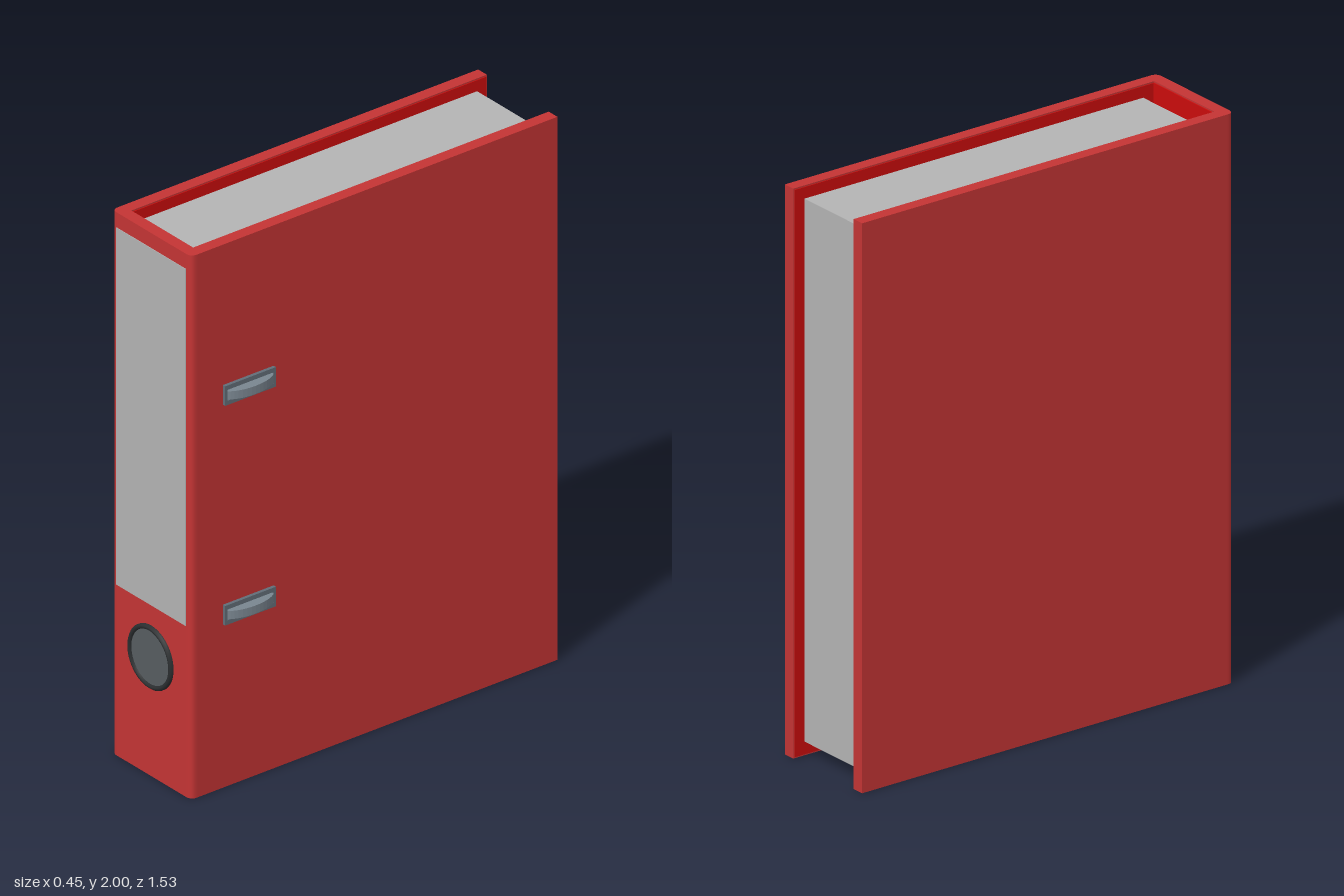
import * as THREE from 'three';

const mat = (name, color) => {
  const m = new THREE.MeshStandardMaterial({ color });
  m.name = name;
  return m;
};

export function createModel() {
  const model = new THREE.Group();
  model.name = 'leverArchFile';
  const red = mat('coverRed', 0xc43434);
  const lining = mat('liningRed', 0xcc0c0c);
  const grey = mat('paperGrey', 0xb4b4b4);
  const dark = mat('rimDark', 0x2b2e30);
  const slate = mat('discSlate', 0x575d61);
  const frameSteel = mat('frameSteel', 0x626e78);
  const steel = mat('lugSteel', 0x7a8690);

  const add = (name, geometry, material, parent = model) => {
    const mesh = new THREE.Mesh(geometry, material);
    mesh.name = name;
    parent.add(mesh);
    return mesh;
  };
  // Box given by its limits on each axis
  const box = (name, [x0, x1], [y0, y1], [z0, z1], material, parent) => {
    const mesh = add(name, new THREE.BoxGeometry(x1 - x0, y1 - y0, z1 - z0), material, parent);
    mesh.position.set((x0 + x1) / 2, (y0 + y1) / 2, (z0 + z1) / 2);
    return mesh;
  };
  // Plan outline (x, -z) raised along y
  const raise = (shape, height, y0) => {
    const g = new THREE.ExtrudeGeometry(shape, { depth: height, bevelEnabled: false, curveSegments: 14 });
    return g.rotateX(-Math.PI / 2).translate(0, y0, 0);
  };

  // Cover: two boards joined by a spine with rounded corners
  const L = -0.225, R = 0.185, F = -0.752, B = 0.765, t = 0.045, r = 0.026;
  const u = new THREE.Shape();
  u.moveTo(L, B);
  u.lineTo(L, F + r);
  u.quadraticCurveTo(L, F, L + r, F);
  u.lineTo(R - r, F);
  u.quadraticCurveTo(R, F, R, F + r);
  u.lineTo(R, B);
  u.lineTo(R - t, B);
  u.lineTo(R - t, F + t);
  u.lineTo(L + t, F + t);
  u.lineTo(L + t, B);
  u.closePath();
  add('cover', raise(u, 2, 0), red);

  // Inner lining
  const inY = [0.005, 1.995];
  box('liningRight', [L + t, L + t + 0.003], inY, [-0.76, 0.707], lining);
  box('liningLeft', [R - t - 0.003, R - t], inY, [-0.76, 0.707], lining);
  box('liningSpine', [L + t, R - t], inY, [0.703, 0.707], lining);
  box('spineFiller', [-0.176, 0.136], [0.1, 1.9], [0.66, 0.704], lining);

  // Stack of paper
  box('paperBlock', [-0.177, 0.137], [0.05, 1.955], [-0.722, 0.66], grey);

  // Spine label
  box('spineLabel', [-0.2, 0.16], [0.63, 1.945], [0.75, 0.754], grey);

  // Finger hole on the spine
  const hole = new THREE.Group();
  hole.name = 'fingerHole';
  hole.position.set(-0.02, 0.44, 0.75);
  model.add(hole);
  const rim = [[0.098, 0], [0.098, 0.009], [0.103, 0.015], [0.11, 0.014], [0.115, 0.008], [0.115, 0]]
    .map(([x, y]) => new THREE.Vector2(x, y)).reverse();
  const rimMesh = add('holeRim', new THREE.LatheGeometry(rim, 48), dark, hole);
  rimMesh.rotation.x = Math.PI / 2;
  rimMesh.material.side = THREE.DoubleSide;
  const disc = add('holeDisc', new THREE.CircleGeometry(0.1, 48), slate, hole);
  disc.position.z = 0.007;

  // Slotted metal frames with curved lugs on the left board
  for (const y of [0.638, 1.447]) {
    const clip = new THREE.Group();
    clip.name = 'ringClip';
    clip.position.set(R, y, 0.515);
    model.add(clip);
    for (const s of [-1, 1]) {
      box('frameBar', [0, 0.012], [s * 0.028 - 0.008, s * 0.028 + 0.008], [-0.105, 0.105], frameSteel, clip);
      box('frameEnd', [0, 0.012], [-0.02, 0.02], [s * 0.1 - 0.005, s * 0.1 + 0.005], frameSteel, clip);
    }
    box('framePlate', [0, 0.005], [-0.02, 0.02], [-0.095, 0.095], frameSteel, clip);
    const lug = new THREE.Shape();
    lug.moveTo(0, -0.098);
    lug.lineTo(0.01, -0.098);
    lug.bezierCurveTo(0.05, -0.06, 0.05, 0.06, 0.01, 0.098);
    lug.lineTo(0, 0.098);
    lug.closePath();
    add('lug', raise(lug, 0.03, -0.015), steel, clip);
  }
  return model;
}
